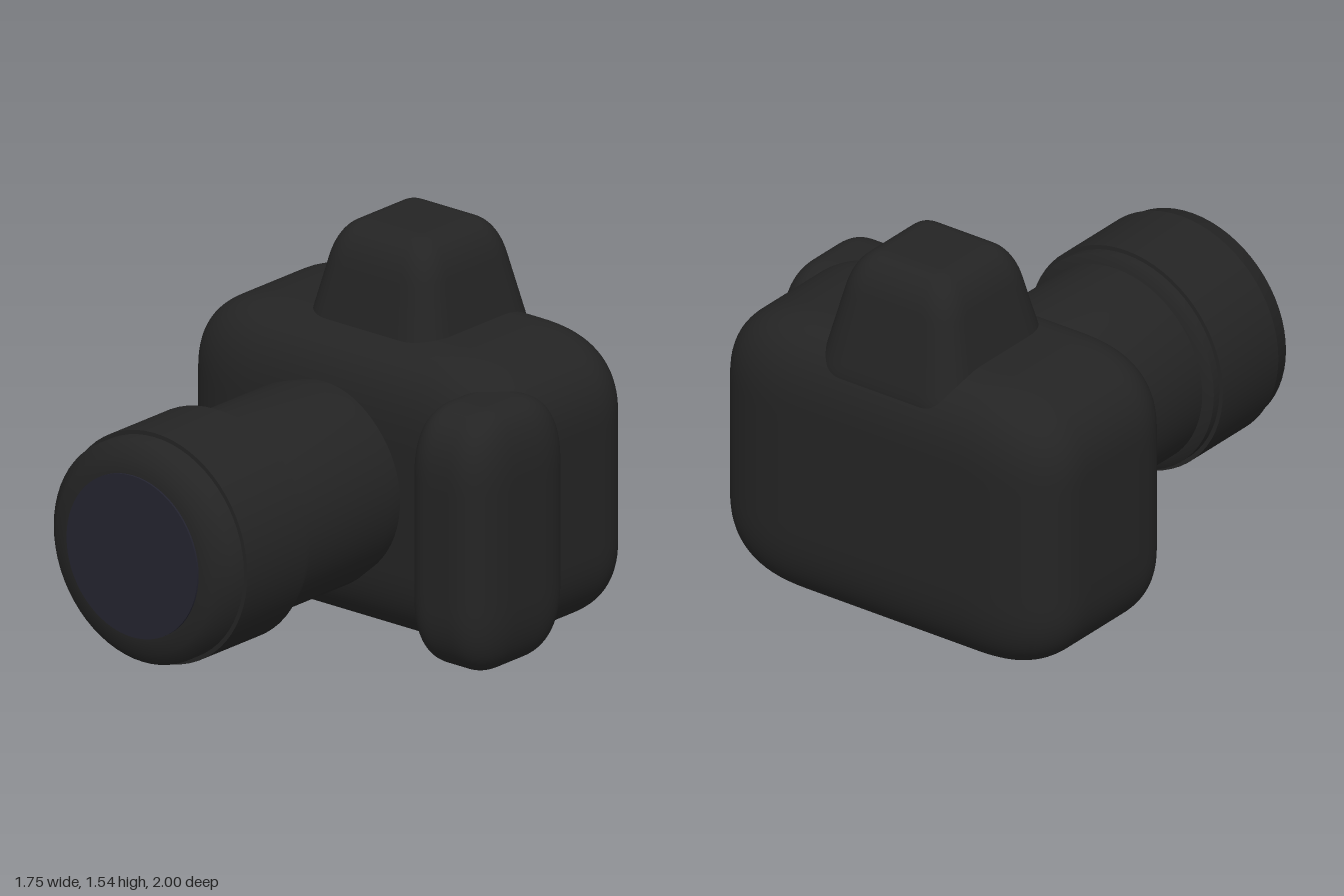
import * as THREE from 'three';
import { mergeVertices, toCreasedNormals } from 'three/addons/utils/BufferGeometryUtils.js';

// Box with softly swollen corners; min/max are its bounds, radii the rounding per axis.
// taper(y) optionally scales the section at each height.
function softBox(min, max, radii, power = 2.5, taper = null) {
  const n = 36;
  const half = max.map((v, i) => (v - min[i]) / 2);
  const mid = max.map((v, i) => (v + min[i]) / 2);
  const geo = new THREE.BoxGeometry(2, 2, 2, n, n, n);
  geo.deleteAttribute('uv');
  geo.deleteAttribute('normal');
  const merged = mergeVertices(geo);
  const pos = merged.attributes.position;
  for (let i = 0; i < pos.count; i++) {
    const p = [pos.getX(i), pos.getY(i), pos.getZ(i)].map((v, k) => v * half[k]);
    const core = p.map((v, k) => THREE.MathUtils.clamp(v, radii[k] - half[k], half[k] - radii[k]));
    const d = p.map((v, k) => (v - core[k]) / radii[k]);
    const len = Math.pow(d.reduce((s, v) => s + Math.pow(Math.abs(v), power), 0), 1 / power);
    const q = core.map((v, k) => v + (d[k] / len) * radii[k]);
    const y = q[1] + mid[1];
    const s = taper ? taper(y) : 1;
    pos.setXYZ(i, q[0] * s + mid[0], y, q[2] * s + mid[2]);
  }
  merged.computeVertexNormals();
  return merged;
}

export function createModel() {
  const model = new THREE.Group();
  model.name = 'camera';

  const black = new THREE.MeshStandardMaterial({ color: 0x242424 });
  black.name = 'black casing';
  const glass = new THREE.MeshStandardMaterial({ color: 0x23232f });
  glass.name = 'dark blue glass';

  const add = (name, geometry, material, parent = model) => {
    const mesh = new THREE.Mesh(geometry, material);
    mesh.name = name;
    parent.add(mesh);
    return mesh;
  };

  // Main housing and hand grip
  add('body', softBox([-0.875, 0, -1], [0.78, 1.185, -0.12], [0.42, 0.35, 0.27]), black);
  add('grip', softBox([0.46, 0.03, -0.48], [0.873, 1.095, 0.095], [0.16, 0.3, 0.22]), black);

  // Viewfinder hump, narrowing upwards
  add('viewfinder', softBox(
    [-0.37, 0.95, -0.94], [0.28, 1.545, -0.29], [0.15, 0.16, 0.15], 2.4,
    (y) => 1 - (y - 1.17) * 0.72,
  ), black);

  // Lens, turned around its axis and pointing forwards
  const lens = new THREE.Group();
  lens.name = 'lens';
  lens.position.set(-0.107, 0.598, 0);
  model.add(lens);

  const turned = (profile) => {
    const points = profile.map(([r, z]) => new THREE.Vector2(r, z));
    return toCreasedNormals(new THREE.LatheGeometry(points, 64).rotateX(Math.PI / 2), 0.9);
  };
  add('barrel', turned([
    [0, -0.3], [0.38, -0.3], [0.395, -0.12], [0.413, -0.03], [0.413, 0.46],
  ]), black, lens);
  add('lensHead', turned([
    [0.4, 0.455], [0.413, 0.455], [0.45, 0.48], [0.45, 0.935],
    [0.395, 0.985], [0.33, 0.992], [0, 0.992],
  ]), black, lens);
  add('focusRing', turned([
    [0.44, 0.515], [0.467, 0.515], [0.467, 0.865], [0.44, 0.865],
  ]), black, lens);

  // Front glass
  const disc = new THREE.CylinderGeometry(0.33, 0.33, 0.009, 64).rotateX(Math.PI / 2);
  add('frontGlass', disc, glass, lens).position.z = 0.9955;

  return model;
}
